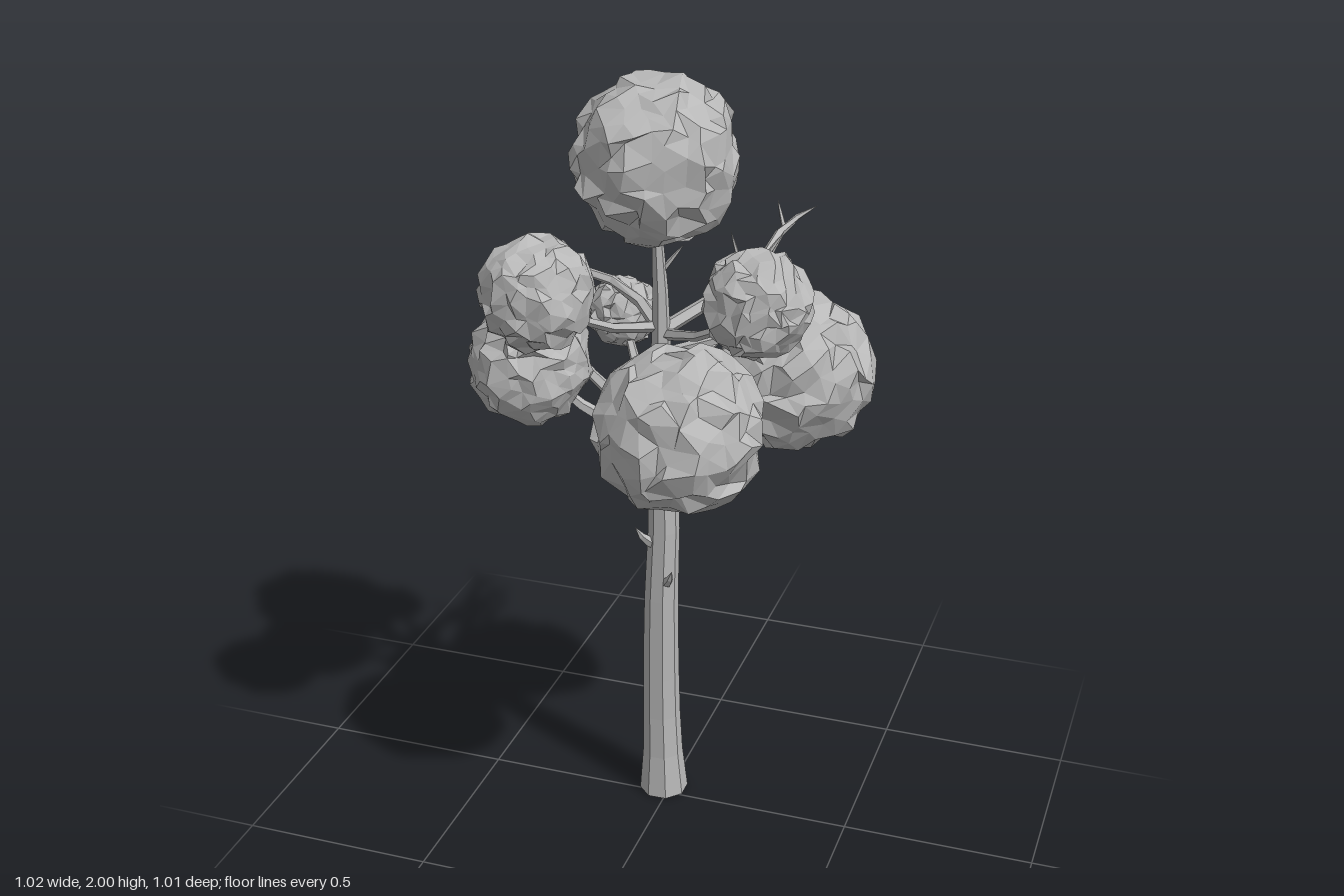
import * as THREE from 'three';
import { mergeVertices } from 'three/addons/utils/BufferGeometryUtils.js';

const grey = new THREE.MeshStandardMaterial({ color: 0xb8b8b8, flatShading: true });
grey.name = 'plain grey';

// Small seeded random generator
function seeded(seed) {
  let s = seed * 7919 + 17;
  return () => {
    s = (s * 1664525 + 1013904223) % 4294967296;
    return s / 4294967296;
  };
}

// Closed limb swept along a smooth curve; radiusAt(t) gives its thickness
function limb(name, points, radiusAt, sides = 5, steps = 5) {
  const curve = new THREE.CatmullRomCurve3(points.map((p) => new THREE.Vector3(...p)));
  const up = new THREE.Vector3(0, 1, 0);
  const pos = [];
  const idx = [];
  for (let i = 0; i <= steps; i++) {
    const t = i / steps;
    const centre = curve.getPoint(t);
    const turn = new THREE.Quaternion().setFromUnitVectors(up, curve.getTangent(t));
    for (let k = 0; k < sides; k++) {
      const a = ((k + 0.5) / sides) * Math.PI * 2;
      const v = new THREE.Vector3(Math.cos(a), 0, Math.sin(a));
      v.multiplyScalar(radiusAt(t)).applyQuaternion(turn).add(centre);
      pos.push(v.x, v.y, v.z);
    }
  }
  pos.push(...curve.getPoint(0).toArray(), ...curve.getPoint(1).toArray());
  const start = (steps + 1) * sides;
  for (let k = 0; k < sides; k++) {
    const n = (k + 1) % sides;
    for (let i = 0; i < steps; i++) {
      const a = i * sides;
      const b = a + sides;
      idx.push(a + k, b + k, a + n, a + n, b + k, b + n);
    }
    idx.push(start, k, n, start + 1, steps * sides + n, steps * sides + k);
  }
  const geo = new THREE.BufferGeometry();
  geo.setAttribute('position', new THREE.Float32BufferAttribute(pos, 3));
  geo.setIndex(idx);
  geo.computeVertexNormals();
  const mesh = new THREE.Mesh(geo, grey);
  mesh.name = name;
  return mesh;
}

const taper = (from, to) => (t) => THREE.MathUtils.lerp(from, to, t);
const pointed = (from) => (t) => from * (1 - 0.55 * t - 0.42 * t ** 4);

// Rough faceted ball of leaves: a sphere whose corners are jittered
function leafBall(x, y, z, r, seed) {
  const rnd = seeded(seed);
  let geo = new THREE.IcosahedronGeometry(1, 4);
  geo.deleteAttribute('normal');
  geo.deleteAttribute('uv');
  geo = mergeVertices(geo, 1e-4);
  const p = geo.attributes.position;
  const v = new THREE.Vector3();
  for (let i = 0; i < p.count; i++) {
    v.fromBufferAttribute(p, i);
    v.x += (rnd() - 0.5) * 0.2;
    v.y += (rnd() - 0.5) * 0.2;
    v.z += (rnd() - 0.5) * 0.2;
    v.setLength(r * (0.89 + 0.16 * rnd()));
    p.setXYZ(i, v.x, v.y, v.z);
  }
  geo.computeVertexNormals();
  const mesh = new THREE.Mesh(geo, grey);
  mesh.name = 'leafBall';
  mesh.position.set(x, y, z);
  return mesh;
}

export function createModel() {
  const tree = new THREE.Group();
  tree.name = 'tree';

  // Trunk, slightly bent, with flared foot, and the thin leader above it
  tree.add(limb('trunk',
    [[-0.018, 0, -0.028], [-0.024, 0.3, -0.026], [-0.022, 0.6, -0.02], [-0.014, 0.85, -0.018], [-0.026, 1.1, -0.016]],
    (t) => 0.053 - 0.017 * t + 0.012 * Math.max(0, 1 - t * 8), 8, 10));
  tree.add(limb('leader', [[-0.026, 1.06, -0.016], [-0.015, 1.4, 0], [-0.025, 1.7, 0.015]], taper(0.034, 0.01), 6));

  // Leaf balls as x, y, z, radius, and the height where the branch leaves the trunk
  const balls = [
    [-0.02, 1.795, 0.02, 0.205, 1.5], [0.13, 1.24, 0.3, 0.205, 1.07],
    [0.305, 1.265, -0.075, 0.2, 1.07], [-0.345, 1.25, 0.05, 0.16, 1.06],
    [-0.21, 1.54, 0.315, 0.138, 1.36], [0.275, 1.52, 0.165, 0.13, 1.34],
    [-0.405, 1.26, -0.22, 0.105, 1.09], [-0.2, 1.3, -0.235, 0.095, 1.1],
  ];
  balls.forEach(([x, y, z, r, h], i) => {
    tree.add(leafBall(x, y, z, r, i + 1));
    // Sagging branch from the trunk into the ball
    const middle = [(x - 0.025) / 2, (y + h) / 2 - 0.04, (z - 0.015) / 2];
    tree.add(limb('leafyBranch', [[-0.025, h, -0.015], middle, [x, y, z]], taper(h < 1.2 ? 0.025 : 0.016, 0.008)));
  });

  const bare = (radius, ...points) => tree.add(limb('bareBranch', points, pointed(radius)));

  // Low bare branch at the back, with two forks
  bare(0.022, [-0.03, 1.05, -0.02], [-0.08, 1.09, -0.3], [-0.03, 1.14, -0.43], [0.05, 1.2, -0.5]);
  bare(0.011, [-0.04, 1.13, -0.41], [-0.025, 1.16, -0.46], [-0.01, 1.22, -0.5]);
  bare(0.013, [-0.08, 1.1, -0.31], [-0.03, 1.14, -0.34], [0.01, 1.23, -0.4]);

  // Middle bare branch, crossing the back
  bare(0.021, [-0.03, 1.09, -0.03], [-0.11, 1.18, -0.2], [0.14, 1.28, -0.29], [0.15, 1.38, -0.45]);
  bare(0.011, [0.13, 1.28, -0.285], [0.1, 1.31, -0.32], [0.07, 1.36, -0.36]);

  // High bare branch at the back right, with its twigs
  bare(0.02, [-0.02, 1.35, 0], [0.16, 1.46, -0.22], [0.195, 1.53, -0.37], [0.26, 1.57, -0.43]);
  bare(0.008, [0.195, 1.52, -0.36], [0.15, 1.57, -0.45]);
  bare(0.009, [0.14, 1.44, -0.19], [0.1, 1.56, -0.2]);
  bare(0.009, [0.17, 1.47, -0.24], [0.22, 1.55, -0.26]);

  // High bare branch on the other side, and a spur on the leader
  bare(0.018, [-0.02, 1.36, 0], [-0.15, 1.41, -0.12], [-0.36, 1.46, -0.14], [-0.41, 1.53, -0.12]);
  bare(0.01, [-0.02, 1.5, 0], [0.04, 1.58, -0.01]);

  // Broken stubs on the trunk: height, then direction in x and z
  for (const [h, dx, dz] of [[0.89, 0.1, 0.025], [0.78, 0, -0.1], [0.76, -0.055, 0.055], [0.65, 0.045, 0.06]]) {
    const along = (f, rise) => [-0.018 + dx * f, h + rise, -0.018 + dz * f];
    tree.add(limb('stub', [along(0.2, 0), along(0.65, 0.02), along(1, 0.06)], pointed(0.017), 5, 3));
  }

  return tree;
}
